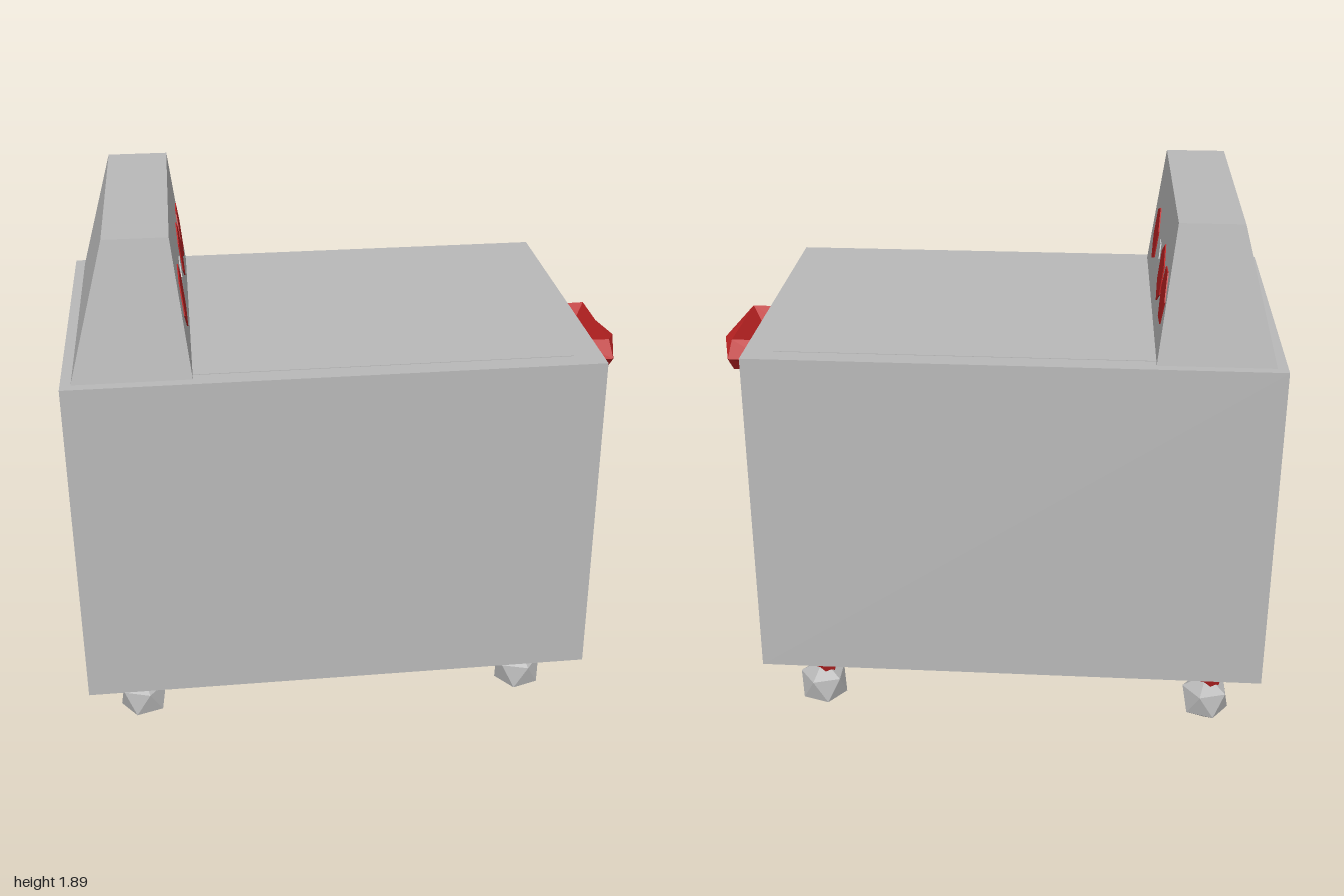
import * as THREE from 'three';

export function createModel() {
  const model = new THREE.Group();
  const grey = new THREE.MeshStandardMaterial({ name: 'grey enamel', color: 0xb8b8b8, flatShading: true });
  const red = new THREE.MeshStandardMaterial({ name: 'red fittings', color: 0xba2222, flatShading: true });

  function add(name, geometry, material, x = 0, y = 0, z = 0) {
    const mesh = new THREE.Mesh(geometry, material);
    mesh.name = name;
    mesh.position.set(x, y, z);
    model.add(mesh);
    return mesh;
  }

  // Cabinet with a nearly flush lid on top
  add('cabinet', new THREE.BoxGeometry(1.8, 1.2, 1.2), grey, -0.1, 0.84, 0);
  add('lid', new THREE.BoxGeometry(1.6, 0.008, 1.06), grey, -0.1, 1.438, 0);

  // Control panel: a box narrowed toward its top
  const panel = new THREE.BoxGeometry(1, 1, 1);
  const p = panel.attributes.position;
  for (let i = 0; i < p.count; i++) {
    const top = p.getY(i) > 0;
    const x = p.getX(i) > 0 ? (top ? -0.625 : -0.573) : (top ? -0.838 : -0.965);
    const z = p.getZ(i) > 0 ? (top ? 0.473 : 0.563) : (top ? -0.476 : -0.566);
    p.setXYZ(i, x, top ? 1.895 : 1.44, z);
  }
  panel.computeVertexNormals();
  add('controlPanel', panel, grey);

  // Six-sided dials lying on the sloped face: z, y, radius, spin, material
  const slope = 0.052 / 0.455;
  const dials = [
    [0.29, 1.625, 0.106, -0.72, red],
    [0.05, 1.62, 0.055, 0, grey],
    [-0.168, 1.625, 0.102, Math.PI / 6, red],
    [-0.39, 1.622, 0.1, -0.96, red],
  ];
  for (const [z, y, r, spin, material] of dials) {
    const geometry = new THREE.CylinderGeometry(r, r, 0.008, 6);
    geometry.rotateZ(-Math.PI / 2).rotateX(spin).rotateZ(Math.atan(slope));
    add('dial', geometry, material, -0.573 - (y - 1.44) * slope, y, z);
  }

  // Handle: diamond section (outer, top, inner, bottom) swept round the grip
  const half = [
    [[0.79, 0.23], [0.79, 0.175], [0.79, 0.12]],
    [[0.94, 0.22], [0.93, 0.18], [0.88, 0.12]],
    [[1.0, 0], [0.93, 0], [0.88, 0]],
  ];
  const mirrored = half.slice(0, 2).reverse().map((s) => s.map(([x, z]) => [x, -z]));
  const rings = [...half, ...mirrored].map(([o, t, n]) => [
    [o[0], 1.28, o[1]], [t[0], 1.34, t[1]], [n[0], 1.28, n[1]], [t[0], 1.225, t[1]],
  ]);
  const points = [];
  for (let i = 0; i < rings.length - 1; i++) {
    for (let j = 0; j < 4; j++) {
      const k = (j + 1) % 4;
      const a = rings[i][j], b = rings[i][k], c = rings[i + 1][j], d = rings[i + 1][k];
      points.push(...a, ...c, ...b, ...b, ...c, ...d);
    }
  }
  const handle = new THREE.BufferGeometry();
  handle.setAttribute('position', new THREE.Float32BufferAttribute(points, 3));
  handle.computeVertexNormals();
  add('handle', handle, red);

  // Four tapered legs on faceted ball casters, each ball standing on a point
  const legGeometry = new THREE.CylinderGeometry(0.062, 0.034, 0.1, 6);
  const ballGeometry = new THREE.IcosahedronGeometry(0.094, 0).rotateZ(-0.5536);
  for (const x of [-0.83, 0.588]) {
    for (const z of [0.412, -0.478]) {
      add('leg', legGeometry, red, x, 0.2, z);
      add('caster', ballGeometry, grey, x + 0.014, 0.094, z);
    }
  }
  return model;
}
